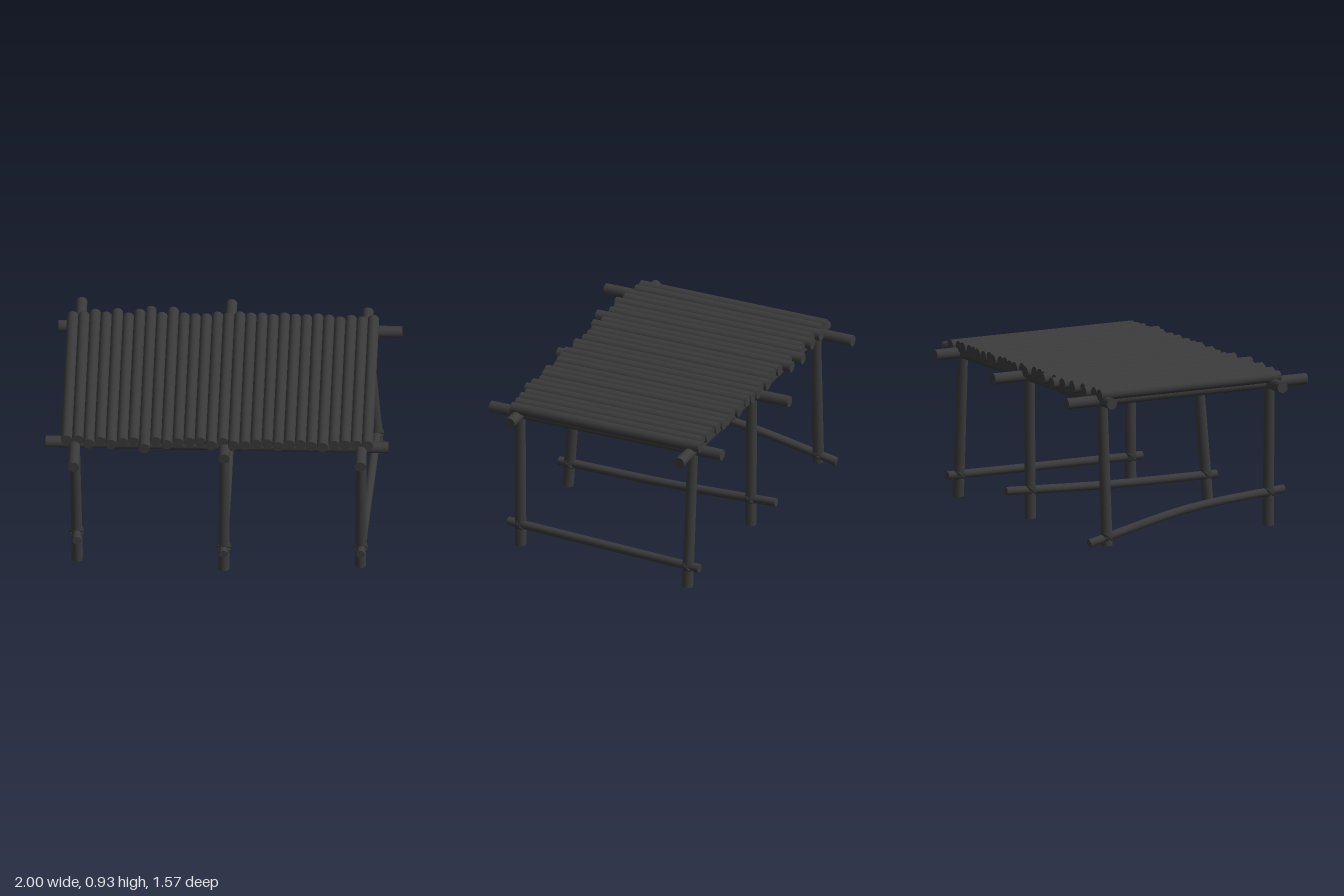
import * as THREE from 'three';

const wood = new THREE.MeshStandardMaterial({ color: 0x3a3a3a });
const rope = new THREE.MeshStandardMaterial({ color: 0x343434 });
const UP = new THREE.Vector3(0, 1, 0);
const v = (x, y, z) => new THREE.Vector3(x, y, z);

export function createModel() {
  const model = new THREE.Group();

  function add(name, geometry, material = wood) {
    const mesh = new THREE.Mesh(geometry, material);
    mesh.name = name;
    model.add(mesh);
    return mesh;
  }

  // Straight round pole between two points
  function pole(name, a, b, r0 = 0.033, r1 = r0) {
    const dir = b.clone().sub(a);
    const mesh = add(name, new THREE.CylinderGeometry(r1, r0, dir.length(), 14));
    mesh.position.copy(a).lerp(b, 0.5);
    mesh.quaternion.setFromUnitVectors(UP, dir.normalize());
  }

  // Slightly bent pole through several points, with closed ends
  function bentPole(name, points, radius) {
    const curve = new THREE.CatmullRomCurve3(points);
    add(name, new THREE.TubeGeometry(curve, 10, radius, 12));
    for (const t of [0, 1]) {
      const cap = add(name + 'End', new THREE.CircleGeometry(radius, 12));
      cap.position.copy(curve.getPoint(t));
      const out = curve.getTangent(t).multiplyScalar(t ? 1 : -1);
      cap.quaternion.setFromUnitVectors(v(0, 0, 1), out);
    }
  }

  // Crossed rope loops around a joint of an upright and a z pole
  function lashing(center) {
    for (const s of [-1, 1]) {
      const loop = add('lashing', new THREE.TorusGeometry(0.034, 0.008, 6, 16), rope);
      loop.position.copy(center);
      loop.rotation.x = s * Math.PI / 4;
    }
  }

  // Long rails
  pole('frontRail', v(-1, 0.85, 0.54), v(0.955, 0.85, 0.54));
  pole('backRail', v(-0.96, 0.85, -0.55), v(1, 0.85, -0.55));

  // Three frames: crossbeam, two posts (feet as x, y, z) and a low brace
  const frames = [
    { x: -0.835, beam: [-0.78, 0.78], front: v(-0.82, 0.02, 0.545), back: v(-0.88, 0.015, -0.54),
      brace: [v(-0.82, 0.222, 0.645), v(-0.85, 0.17, 0), v(-0.88, 0.035, -0.655)], joints: [0.215, 0.065] },
    { x: 0.02, beam: [-0.785, 0.675], front: v(0.018, 0.022, 0.615), back: v(0.02, 0.02, -0.54),
      brace: [v(0.015, 0.163, 0.67), v(0.02, 0.165, 0), v(0.02, 0.19, -0.7)], joints: [0.165, 0.185] },
    { x: 0.8, beam: [-0.73, 0.73], front: v(0.795, 0.01, 0.545), back: v(0.865, 0.005, -0.54),
      brace: [v(0.797, 0.142, 0.62), v(0.828, 0.135, 0), v(0.86, 0.13, -0.615)], joints: [0.14, 0.13] },
  ];
  for (const f of frames) {
    pole('crossbeam', v(f.x, 0.85, f.beam[0]), v(f.x, 0.85, f.beam[1]));
    bentPole('brace', f.brace, 0.025);
    [[f.front, 0.545], [f.back, -0.545]].forEach(([foot, z], i) => {
      const top = v(f.x, 0.86, z);
      pole(i ? 'backPost' : 'frontPost', foot, top, 0.033, 0.03);
      lashing(v(f.x, 0.85, z));
      lashing(foot.clone().lerp(top, (f.joints[i] - foot.y) / (top.y - foot.y)));
    });
  }

  // Roof poles: uneven back and front overhangs, in hundredths
  const backs = [59, 59, 62, 59, 62.5, 59, 62, 65.5, 60, 64.5, 60, 59, 59, 61.5,
    60, 61.5, 61, 60.5, 60, 61.5, 60, 60.5, 61, 60, 59, 60, 59, 61];
  const fronts = [58, 58, 61, 59, 61.5, 59, 59, 64.5, 58, 61, 58.5, 58, 58, 60.5,
    58, 60.5, 60, 59, 58, 60.5, 59, 58, 60, 61, 58, 58.5, 58, 58];
  backs.forEach((b, i) => {
    const x = -0.88 + i * 0.0635, y = 0.892 + 0.003 * Math.sin(i * 2.3);
    pole('roofPole', v(x, y, -b / 100), v(x, y, fronts[i] / 100));
  });

  return model;
}
